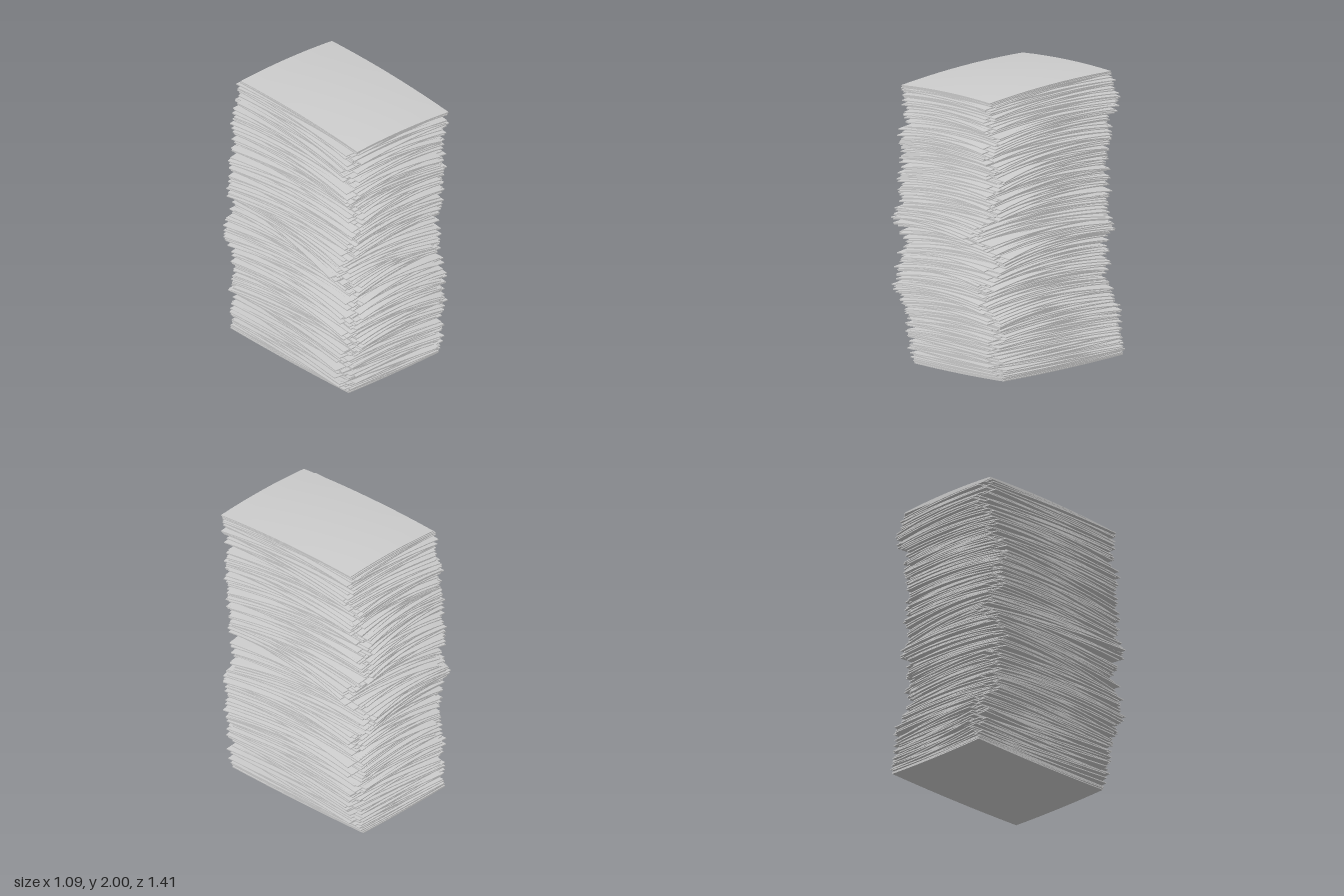
import * as THREE from 'three';

const SHEETS = 250, WIDTH = 0.805, DEPTH = 1.19, THICK = 0.007;

// How the pile drifts on its way up: height, x, z, yaw
const DRIFT = [
  [0, 0.065, -0.085, -0.02], [0.1, 0.06, -0.06, -0.06], [0.2, 0.05, -0.05, -0.09],
  [0.3, 0.05, -0.04, -0.06], [0.36, 0.05, -0.06, -0.05], [0.39, 0.04, -0.03, -0.03],
  [0.45, 0.04, -0.01, -0.02], [0.6, -0.01, 0.03, -0.08], [0.7, 0.01, 0.02, -0.04],
  [0.8, 0, 0, 0.03], [0.86, 0, -0.05, 0.02], [0.92, 0.01, -0.05, 0.04],
  [1.03, -0.01, 0.02, -0.14], [1.1, 0, 0, -0.08], [1.22, -0.01, -0.02, 0.04],
  [1.27, 0, 0, 0.01], [1.33, 0, 0, 0.02], [1.45, 0.01, 0, 0.03],
  [1.55, 0.03, 0, 0], [1.66, 0.02, 0, -0.03], [1.71, 0.04, -0.03, -0.04],
  [1.8, 0.05, -0.02, -0.08], [1.88, 0.06, 0.01, -0.07], [1.91, 0.04, 0, -0.03],
  [1.95, 0.04, 0.02, -0.04], [2, 0.06, 0.04, -0.04],
];

function seeded(seed) {
  return () => {
    seed = (seed * 1664525 + 1013904223) >>> 0;
    return seed / 4294967296;
  };
}

function driftAt(y) {
  let i = 0;
  while (i < DRIFT.length - 2 && DRIFT[i + 1][0] < y) i++;
  const a = DRIFT[i], b = DRIFT[i + 1];
  const t = THREE.MathUtils.clamp((y - a[0]) / (b[0] - a[0]), 0, 1);
  return a.map((v, k) => THREE.MathUtils.lerp(v, b[k], t));
}

// Edge droop: the bottom sheet lies flat, the pile domes above it and eases at the top
function droopAt(y) {
  const dome = THREE.MathUtils.lerp(-0.015, 0.065, THREE.MathUtils.smoothstep(y, 0, 0.6));
  return dome - 0.03 * THREE.MathUtils.smoothstep(y, 1.6, 2);
}

// A thin sheet bent down towards its edges, tipped along its length, with a small curl at each corner
function sheetGeometry(droop, tip, curls) {
  const geo = new THREE.BoxGeometry(WIDTH, THICK, DEPTH, 8, 1, 10);
  const p = geo.attributes.position;
  for (let i = 0; i < p.count; i++) {
    const u = p.getX(i) / (WIDTH / 2), v = p.getZ(i) / (DEPTH / 2);
    const curl = curls[(u > 0 ? 1 : 0) + (v > 0 ? 2 : 0)] * u * u * v * v;
    p.setY(i, p.getY(i) - droop * (0.45 * u * u + 0.55 * v * v) + tip * v + curl);
  }
  geo.computeVertexNormals();
  return geo;
}

export function createModel() {
  const rand = seeded(17);
  const jitter = (amount) => (rand() * 2 - 1) * amount;
  const material = new THREE.MeshStandardMaterial({ color: 0xcccccc });
  const stack = new THREE.Group();
  stack.name = 'paperStack';

  // Sheets from the bottom up, each turned and slid a little at random
  for (let i = 0; i < SHEETS; i++) {
    const t = i / (SHEETS - 1);
    const y = THREE.MathUtils.lerp(0.008, 2 - THICK / 2, t);
    const droop = droopAt(y);
    const [, x, z, yaw] = driftAt(y - droop * 0.5);
    // The lowest and topmost sheets lie neatly
    const loose = Math.min(1, i / 8, (SHEETS - 1 - i) / 4);
    const curls = [0, 1, 2, 3].map(() => jitter(0.01) * loose);
    const tip = THREE.MathUtils.lerp(0.01, -0.01, t);
    const sheet = new THREE.Mesh(sheetGeometry(droop, tip, curls), material);
    sheet.name = 'sheet' + (i + 1);
    sheet.position.set(x + jitter(0.018) * loose, y, z + jitter(0.022) * loose);
    sheet.rotation.y = yaw + jitter(0.085) * loose;
    stack.add(sheet);
  }

  // Centre the pile over the origin
  const box = new THREE.Box3().setFromObject(stack, true);
  stack.position.set(-(box.min.x + box.max.x) / 2, -box.min.y, -(box.min.z + box.max.z) / 2);
  const model = new THREE.Group();
  model.name = 'paperPile';
  model.add(stack);
  return model;
}
